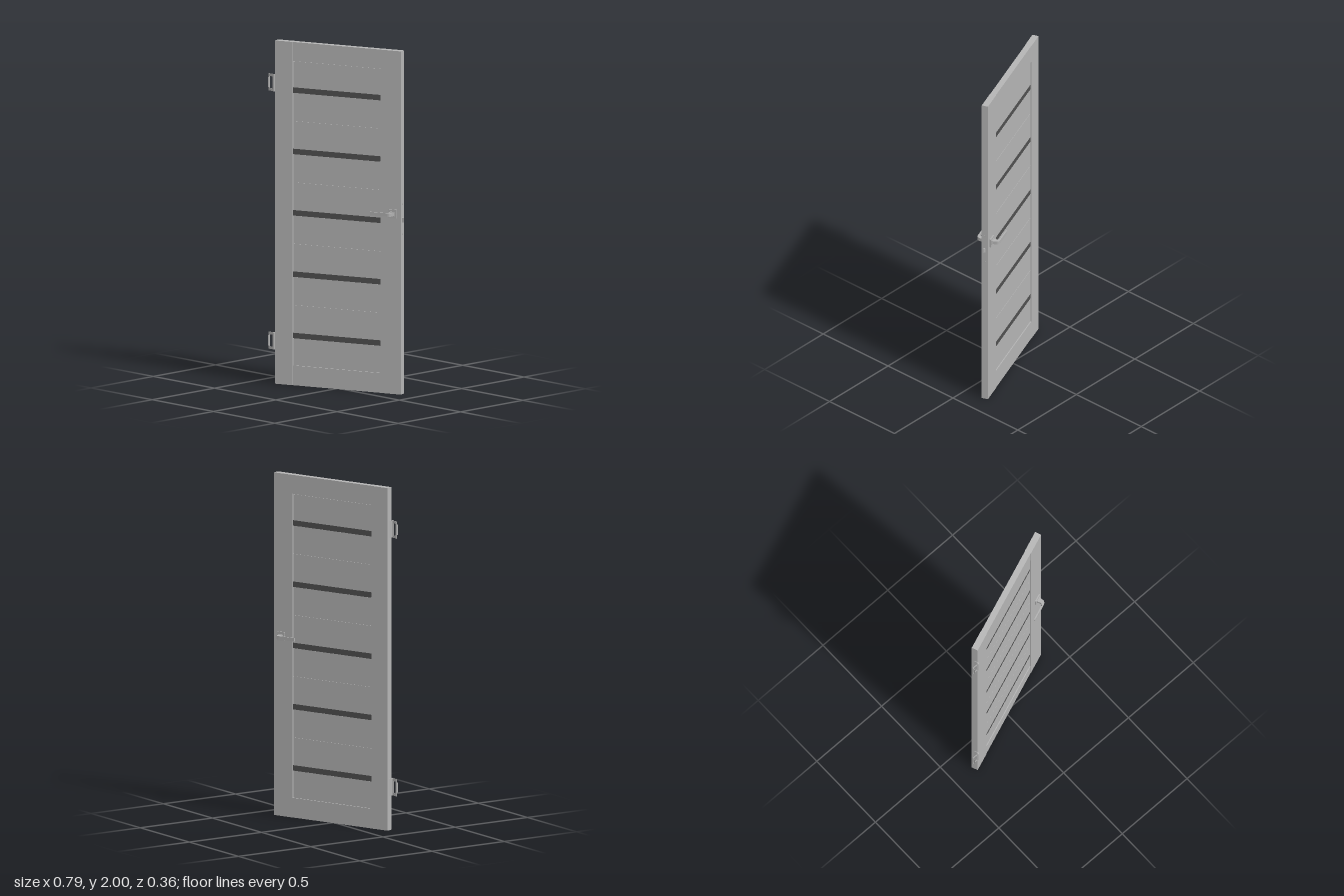
import * as THREE from 'three';

export function createModel() {
  const mat = (name, color) => {
    const m = new THREE.MeshStandardMaterial({ color });
    m.name = name;
    return m;
  };
  const paint = mat('grey paint', 0xb4b4b4);
  const metal = mat('grey metal', 0xb0b0b0);
  const glass = mat('dark glass', 0x505050);

  const root = new THREE.Group();
  root.name = 'door';
  const add = (parent, name, geo, material, x = 0, y = 0, z = 0) => {
    const mesh = new THREE.Mesh(geo, material);
    mesh.name = name;
    mesh.position.set(x, y, z);
    parent.add(mesh);
    return mesh;
  };
  // box given by its limits in x and y, and its half depth in z
  const slab = (parent, name, x0, x1, y0, y1, half, material) =>
    add(parent, name, new THREE.BoxGeometry(x1 - x0, y1 - y0, half * 2), material,
      (x0 + x1) / 2, (y0 + y1) / 2, 0);

  // the leaf stands ajar
  const leaf = new THREE.Group();
  leaf.name = 'leaf';
  leaf.position.x = 0.011;
  leaf.rotation.y = 0.36;
  root.add(leaf);

  // stiles and slightly thinner rails
  const L = -0.286, R = 0.268, B = 0.115, T = 1.89;
  slab(leaf, 'hingeStile', -0.397, L, 0, 2, 0.019, paint);
  slab(leaf, 'latchStile', R, 0.397, 0, 2, 0.019, paint);
  slab(leaf, 'bottomRail', L, R, 0, B, 0.0175, paint);
  slab(leaf, 'topRail', L, R, T, 2, 0.0175, paint);

  // recessed infill: planks split by glass strips and narrow seams
  slab(leaf, 'core', L, R, B, T, 0.0105, paint);
  const strips = 5, pitch = 0.3575, first = 0.289, halfStrip = 0.016, seam = 0.0015;
  for (let i = 0; i < strips; i++) {
    const y = first + i * pitch;
    const low = i === 0 ? B + 0.003 : y - pitch / 2 + seam;
    const high = i === strips - 1 ? T - 0.003 : y + pitch / 2 - seam;
    slab(leaf, 'plank', L + 0.002, R - 0.002, low, y - halfStrip, 0.0135, paint);
    slab(leaf, 'glassStrip', L, R, y - halfStrip, y + halfStrip, 0.013, glass);
    slab(leaf, 'plank', L + 0.002, R - 0.002, y + halfStrip, high, 0.0135, paint);
  }

  // lever outline seen from above, extruded to its height
  const s = new THREE.Shape();
  s.moveTo(0.330, 0.026);
  s.lineTo(0.359, 0.026);
  s.lineTo(0.354, 0.05);
  s.quadraticCurveTo(0.351, 0.069, 0.332, 0.069);
  s.lineTo(0.224, 0.069);
  s.lineTo(0.222, 0.062);
  s.lineTo(0.318, 0.061);
  s.quadraticCurveTo(0.330, 0.060, 0.331, 0.046);
  s.closePath();
  const leverGeo = new THREE.ExtrudeGeometry(s, { depth: 0.02, bevelEnabled: false, curveSegments: 8 });
  leverGeo.rotateX(Math.PI / 2);

  // one handle on each face
  for (const side of [1, -1]) {
    const handle = new THREE.Group();
    handle.name = side > 0 ? 'frontHandle' : 'backHandle';
    handle.scale.z = side;
    leaf.add(handle);
    add(handle, 'rosette', new THREE.BoxGeometry(0.052, 0.052, 0.009), metal, 0.345, 1.05, 0.0225);
    add(handle, 'collar', new THREE.BoxGeometry(0.034, 0.026, 0.004), metal, 0.345, 1.05, 0.029);
    add(handle, 'lever', leverGeo, metal, 0, 1.06, 0);
  }

  // wedge-shaped latch bolt and screws on the closing edge
  const wedge = new THREE.Shape();
  wedge.moveTo(0.395, -0.006);
  wedge.lineTo(0.409, 0.004);
  wedge.lineTo(0.409, 0.006);
  wedge.lineTo(0.395, 0.006);
  wedge.closePath();
  const wedgeGeo = new THREE.ExtrudeGeometry(wedge, { depth: 0.026, bevelEnabled: false });
  wedgeGeo.rotateX(Math.PI / 2);
  add(leaf, 'latchBolt', wedgeGeo, metal, 0, 1.028, 0);
  for (const y of [0.935, 1.11]) {
    const screw = add(leaf, 'screw', new THREE.CylinderGeometry(0.004, 0.004, 0.002, 12), metal, 0.3975, y, 0);
    screw.rotation.z = Math.PI / 2;
  }

  // hinge plate with a window
  const plate = new THREE.Shape();
  plate.moveTo(-0.399, -0.05);
  plate.lineTo(-0.355, -0.05);
  plate.lineTo(-0.355, 0.05);
  plate.lineTo(-0.399, 0.05);
  plate.closePath();
  const hole = new THREE.Path();
  hole.moveTo(-0.389, -0.035);
  hole.lineTo(-0.389, 0.035);
  hole.lineTo(-0.366, 0.035);
  hole.lineTo(-0.366, -0.035);
  hole.closePath();
  plate.holes.push(hole);
  const plateGeo = new THREE.ExtrudeGeometry(plate, { depth: 0.0025, bevelEnabled: false });

  for (const y of [0.25, 1.755]) {
    const hinge = new THREE.Group();
    hinge.name = 'hinge';
    hinge.position.y = y;
    root.add(hinge);
    add(hinge, 'framePlate', plateGeo, metal, 0, 0, 0.164);
    add(hinge, 'lip', new THREE.BoxGeometry(0.002, 0.06, 0.012), metal, -0.391, 0, 0.171);
    add(hinge, 'barrel', new THREE.CylinderGeometry(0.0055, 0.0055, 0.1, 16), metal, -0.356, 0, 0.165);
    add(leaf, 'leafPlate', new THREE.BoxGeometry(0.003, 0.1, 0.026), metal, -0.398, y, 0.012);
  }
  return root;
}
